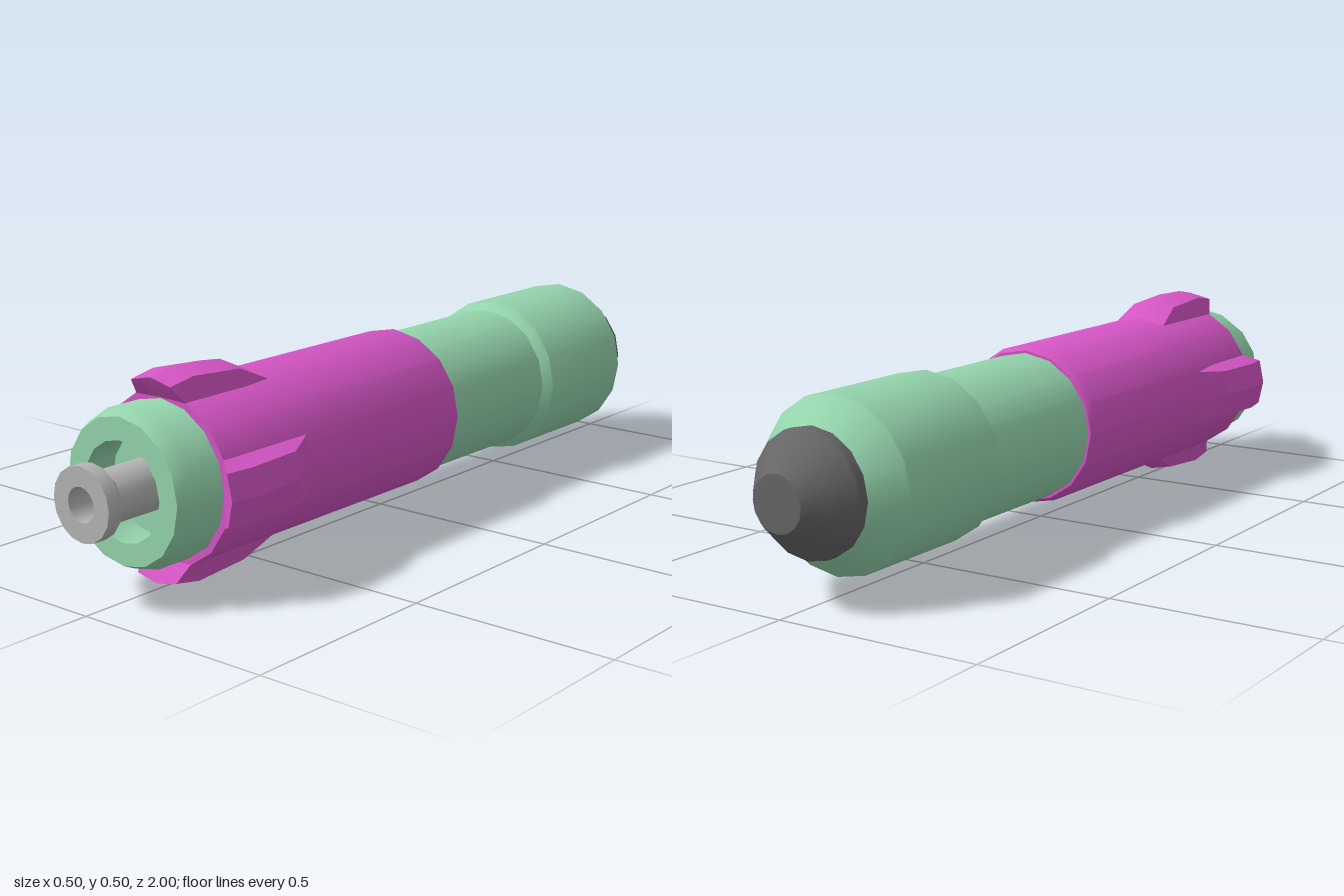
import * as THREE from 'three';
import { toCreasedNormals } from 'three/addons/utils/BufferGeometryUtils.js';

const SIDES = 16;
const AXIS_Y = 0.25;

const green = new THREE.MeshStandardMaterial({ color: 0x94d4ac });
const magenta = new THREE.MeshStandardMaterial({ color: 0xd455c4 });
const dark = new THREE.MeshStandardMaterial({ color: 0x666666 });
const grey = new THREE.MeshStandardMaterial({ color: 0xb4b4b4 });

// Turned part lying along z; profile is [radius, z] from back to front
function turned(name, profile, material) {
  const points = profile.map(([r, z]) => new THREE.Vector2(r, z));
  const lathe = new THREE.LatheGeometry(points, SIDES).rotateX(Math.PI / 2);
  const mesh = new THREE.Mesh(toCreasedNormals(lathe, 0.6), material);
  mesh.name = name;
  return mesh;
}

// Fin swept through cross-sections, closed by a slanted front face
function finGeometry() {
  const baseX = 0.076, baseY = 0.183;
  // [z of top, z of base, corner x, corner y, ridge y]
  const sections = [
    [0.49, 0.49, 0.068, 0.185, 0.198],
    [0.575, 0.575, 0.062, 0.224, 0.237],
    [0.72, 0.72, 0.062, 0.234, 0.248],
    [0.79, 0.76, 0.06, 0.222, 0.235],
  ];
  const positions = [];
  const index = [];
  for (const [z, zb, cx, cy, ridge] of sections) {
    positions.push(-baseX, baseY, zb, -cx, cy, z, 0, ridge, z, cx, cy, z, baseX, baseY, zb);
  }
  for (let i = 0; i < sections.length - 1; i++) {
    for (let j = 0; j < 4; j++) {
      const a = i * 5 + j, d = a + 5;
      index.push(a, d, d + 1, a, d + 1, a + 1);
    }
  }
  const last = (sections.length - 1) * 5;
  const centre = positions.length / 3;
  positions.push(0, 0.185, 0.76);
  for (let j = 0; j < 4; j++) index.push(centre, last + j + 1, last + j);
  const geometry = new THREE.BufferGeometry();
  geometry.setAttribute('position', new THREE.Float32BufferAttribute(positions, 3));
  geometry.setIndex(index);
  return toCreasedNormals(geometry, 0.4);
}

export function createModel() {
  const model = new THREE.Group();
  model.name = 'cylinderDevice';
  const axis = new THREE.Group();
  axis.name = 'assembly';
  axis.position.y = AXIS_Y;
  model.add(axis);

  // Body: thick rear section, slimmer barrel, recessed front end
  axis.add(turned('body', [
    [0, -0.885], [0.14, -0.885], [0.203, -0.81], [0.203, -0.48], [0.183, -0.46],
    [0.183, 0.85], [0.168, 0.885], [0.115, 0.885], [0.115, 0.8], [0, 0.8],
  ], green));

  // Rounded nose at the back
  axis.add(turned('nose', [
    [0, -1], [0.065, -0.998], [0.108, -0.95], [0.145, -0.905], [0.145, -0.88],
  ], dark));

  // Sleeve with chamfered rear lip
  axis.add(turned('sleeve', [
    [0.182, -0.07], [0.19, -0.07], [0.199, -0.055], [0.199, 0.76], [0.182, 0.76],
  ], magenta));

  // Four fins around the front of the sleeve
  const fin = finGeometry();
  for (let i = 0; i < 4; i++) {
    const mesh = new THREE.Mesh(fin, magenta);
    mesh.name = `fin${i + 1}`;
    mesh.rotation.z = i * Math.PI / 2;
    axis.add(mesh);
  }

  // Hollow nozzle with flared tip
  axis.add(turned('nozzle', [
    [0.06, 0.8], [0.06, 0.94], [0.085, 0.965], [0.085, 1], [0.04, 1], [0.04, 0.8],
  ], grey));

  return model;
}
